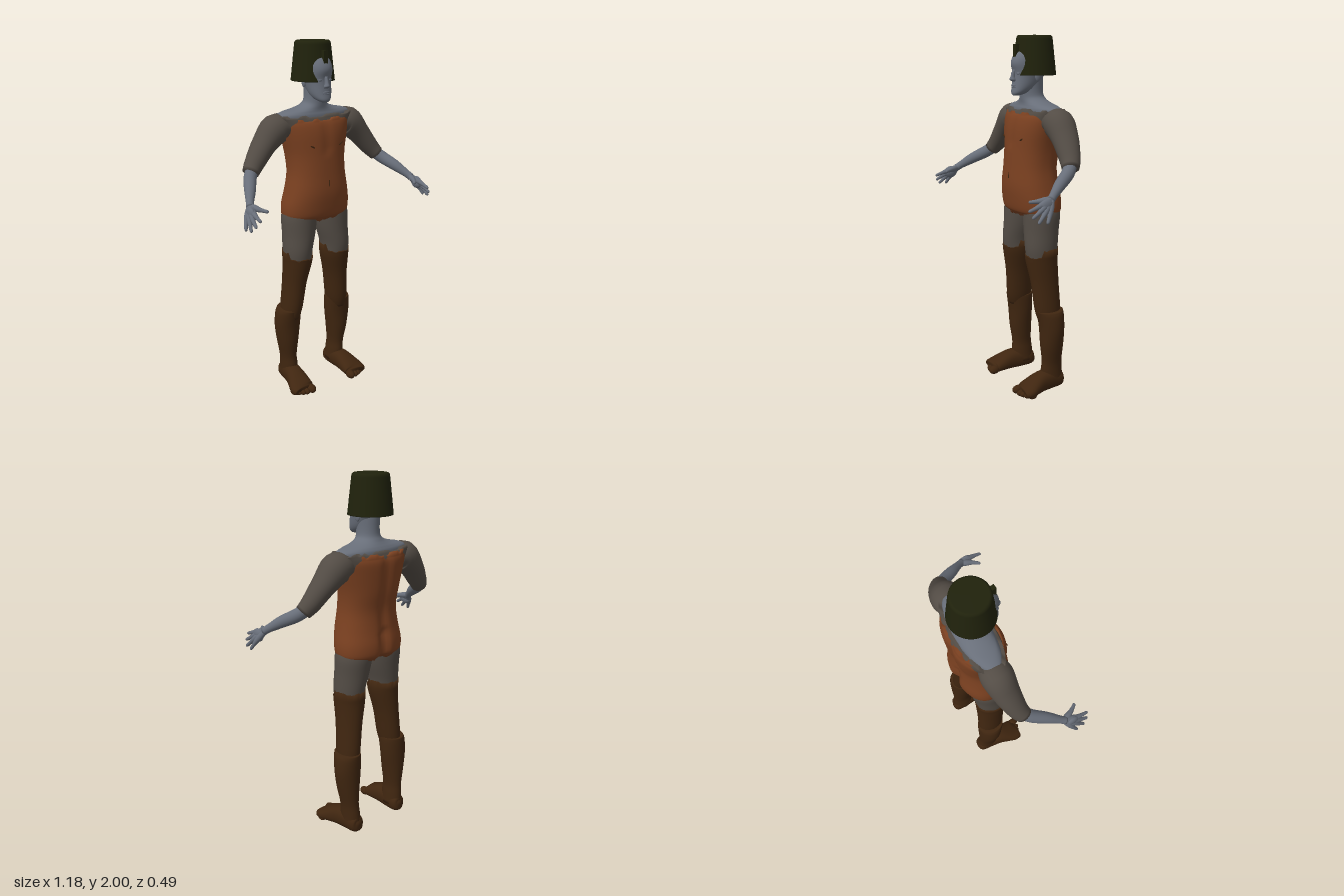
import * as THREE from 'three';

const mat = (name, color) => {
  const m = new THREE.MeshStandardMaterial({ color, side: THREE.DoubleSide });
  m.name = name;
  return m;
};

// Smooth closed skin through rows [x, y, z, a, b].
// level: rings stay horizontal (rows run upward); otherwise they follow the path.
function loft(rows, { level = false, seg = 24, steps = 4, n = 2, deform } = {}) {
  const spline = (f) => new THREE.CatmullRomCurve3(rows.map(f), false, 'catmullrom', 0.5);
  const path = spline((r) => new THREE.Vector3(r[0], r[1], r[2]));
  const size = spline((r) => new THREE.Vector3(r[3], r[4], 0));
  const rings = (rows.length - 1) * steps;
  const pos = [], idx = [], up = new THREE.Vector3(0, 1, 0);
  const sp = (c) => Math.sign(c) * Math.abs(c) ** (2 / n);
  for (let i = 0; i <= rings; i++) {
    const k = i / rings, c = path.getPoint(k), s = size.getPoint(k);
    const t = level ? up : path.getTangent(k);
    const u = level ? new THREE.Vector3(1, 0, 0) : up.clone().cross(t).normalize();
    const v = t.clone().cross(u);
    for (let j = 0; j < seg; j++) {
      const a = (j / seg) * Math.PI * 2;
      const p = c.clone().addScaledVector(u, s.x * sp(Math.cos(a))).addScaledVector(v, s.y * sp(Math.sin(a)));
      if (deform) deform(p, a, k, j);
      pos.push(p.x, p.y, p.z);
      if (i < rings) {
        const A = i * seg + j, B = i * seg + ((j + 1) % seg);
        idx.push(A, B, B + seg, A, B + seg, A + seg);
      }
    }
  }
  // End caps
  const first = pos.length / 3, top = rings * seg;
  pos.push(...path.getPoint(0).toArray(), ...path.getPoint(1).toArray());
  for (let j = 0; j < seg; j++) {
    const q = (j + 1) % seg;
    idx.push(first, q, j, first + 1, top + j, top + q);
  }
  const g = new THREE.BufferGeometry();
  g.setAttribute('position', new THREE.Float32BufferAttribute(pos, 3));
  g.setIndex(idx);
  g.computeVertexNormals();
  return g;
}

// Ragged cloth edge pattern
const rag = (j) => 0.006 * Math.sign(Math.sin(j * 0.9) + 0.6 * Math.sin(j * 2.3 + 1));

export function createModel() {
  const model = new THREE.Group();
  const skin = mat('blue grey skin', 0x686e79);
  const cloth = mat('grey shirt', 0x534c45);
  const leather = mat('rust tunic', 0x7a4020);
  const boot = mat('dark brown boots', 0x402610);
  const hatMat = mat('dark olive hat', 0x20220c);

  const add = (name, geo, material, parent = model) => {
    const m = new THREE.Mesh(geo, material);
    m.name = name;
    parent.add(m);
    return m;
  };
  const blob = (name, p, s, material, parent) => {
    const m = add(name, new THREE.SphereGeometry(1, 18, 12), material, parent);
    m.position.set(...p);
    m.scale.set(...s);
    return m;
  };
  const upright = (rows) => rows.map(([y, z, a, b]) => [0, y, z, a, b]);

  // Tunic with spine groove, seat crease and ragged edges
  add('tunic', loft(upright([
    [1.04, -0.1, 0.185, 0.11], [1.06, -0.1, 0.2, 0.132], [1.12, -0.095, 0.2, 0.14],
    [1.2, -0.085, 0.184, 0.138], [1.3, -0.085, 0.167, 0.132], [1.4, -0.097, 0.171, 0.137],
    [1.5, -0.105, 0.193, 0.138], [1.56, -0.112, 0.206, 0.132], [1.592, -0.115, 0.205, 0.118],
  ]), {
    level: true, seg: 80, n: 2.3, deform: (p, a, k, j) => {
      const mid = Math.exp(-((p.x / 0.028) ** 2));
      if (Math.sin(a) > 0) p.z += mid * (p.y < 1.19 ? 0.028 : 0.013);
      else if (p.y > 1.4) p.z -= mid * 0.006;
      if (k === 0) p.y -= 0.015 * Math.exp(-((p.x / 0.05) ** 2)) + rag(j);
      if (k === 1) p.y += rag(j) + (Math.sin(a) > 0 ? 0.008 : 0);
    },
  }), leather);
  blob('navel', [0, 1.245, 0.049], [0.004, 0.024, 0.004], boot);
  for (const s of [-1, 1]) {
    blob('chestCrease', [s * 0.09, 1.455, 0.025], [0.018, 0.004, 0.004], boot).rotation.z = s * 0.5;
  }

  // Shirt collar band and bare shoulders with neck
  add('shirtCollar', loft(upright([
    [1.48, -0.11, 0.185, 0.115], [1.57, -0.115, 0.225, 0.114], [1.61, -0.115, 0.252, 0.1],
  ]), { level: true, seg: 64, n: 2.3, deform: (p, a, k, j) => { if (k === 1) p.y += rag(j); } }), cloth);
  add('shouldersAndNeck', loft(upright([
    [1.55, -0.115, 0.22, 0.09], [1.608, -0.115, 0.238, 0.09], [1.63, -0.113, 0.2, 0.083],
    [1.645, -0.108, 0.13, 0.077], [1.665, -0.1, 0.076, 0.071], [1.7, -0.092, 0.058, 0.066],
    [1.8, -0.09, 0.058, 0.07],
  ]), { level: true, seg: 48 }), skin);

  // Head and face
  const head = new THREE.Group();
  head.name = 'head';
  model.add(head);
  add('skull', loft(upright([
    [1.685, 0.002, 0.02, 0.02], [1.7, -0.02, 0.042, 0.047], [1.73, -0.045, 0.058, 0.067],
    [1.78, -0.07, 0.068, 0.086], [1.81, -0.078, 0.073, 0.094], [1.85, -0.078, 0.073, 0.104],
    [1.885, -0.08, 0.07, 0.096], [1.92, -0.085, 0.055, 0.075], [1.95, -0.09, 0.02, 0.03],
  ]), { level: true, seg: 40, n: 2.2 }), skin, head);
  add('nose', loft([
    [0, 1.757, 0.014, 0.012, 0.01], [0, 1.768, 0.024, 0.016, 0.018],
    [0, 1.785, 0.023, 0.01, 0.014], [0, 1.82, 0.014, 0.008, 0.01],
  ], { level: true }), skin, head);
  for (const y of [1.737, 1.727]) blob('lip', [0, y, 0.019], [0.021, 0.005, 0.008], skin, head);
  for (const s of [-1, 1]) {
    blob('eye', [s * 0.03, 1.8, 0.007], [0.013, 0.006, 0.007], skin, head);
    blob('ear', [s * 0.071, 1.785, -0.09], [0.008, 0.028, 0.017], skin, head);
  }

  // Tapered hat with a front tab
  const profile = [
    [0.09, 1.8], [0.112, 1.791], [0.119, 1.79], [0.119, 1.794], [0.098, 1.98],
    [0.096, 1.99], [0.09, 1.997], [0.084, 1.998], [0, 2],
  ].map((p) => new THREE.Vector2(...p));
  add('hat', new THREE.LatheGeometry(profile, 48), hatMat).position.z = -0.11;
  add('hatTab', new THREE.BoxGeometry(0.024, 0.075, 0.03), hatMat).position.set(0, 1.915, 0);

  for (const s of [-1, 1]) {
    const side = s > 0 ? 'left' : 'right';
    const flip = (rows) => rows.map(([x, ...r]) => [x * s, ...r]);

    // Arm
    const arm = new THREE.Group();
    arm.name = side + 'Arm';
    model.add(arm);
    add('sleeve', loft(flip([
      [0.17, 1.55, -0.115, 0.07, 0.05], [0.235, 1.545, -0.117, 0.084, 0.082],
      [0.31, 1.475, -0.11, 0.072, 0.064], [0.38, 1.388, -0.092, 0.056, 0.052],
      [0.42, 1.34, -0.072, 0.045, 0.043],
    ]), { seg: 32 }), cloth, arm);
    add('forearm', loft(flip([
      [0.4, 1.36, -0.085, 0.034, 0.034], [0.44, 1.32, -0.04, 0.034, 0.035],
      [0.48, 1.28, 0.03, 0.03, 0.031], [0.515, 1.24, 0.09, 0.021, 0.022],
      [0.53, 1.22, 0.118, 0.021, 0.021],
    ])), skin, arm);
    // Fingers fan out from the wrist and form the palm
    const wrist = [0.527, 1.224, 0.11];
    const tips = [[0.545, 1.18, 0.25], [0.565, 1.15, 0.24], [0.58, 1.125, 0.215], [0.586, 1.12, 0.168], [0.478, 1.21, 0.21]];
    tips.forEach((tip, i) => {
      const thumb = i === 4;
      const at = (t, r, bow = 0) => [
        ...wrist.map((w, c) => w + (tip[c] - w) * t + (c === 0 ? bow : 0)), r, r];
      add(thumb ? 'thumb' : 'finger', loft(flip([
        at(0, 0.015), at(0.3, 0.017, 0.004), at(0.52, 0.014, 0.006),
        at(0.75, 0.01, 0.004), at(0.95, 0.008), at(1, 0.003),
      ]), { seg: 12, steps: 3 }), skin, arm);
    });
    blob('palm', [s * 0.545, 1.195, 0.15], [0.018, 0.035, 0.04], skin, arm);

    // Leg
    const leg = new THREE.Group();
    leg.name = side + 'Leg';
    model.add(leg);
    add('thigh', loft(flip([
      [0.127, 0.76, -0.085, 0.073, 0.08], [0.127, 0.85, -0.085, 0.081, 0.094],
      [0.113, 0.95, -0.092, 0.093, 0.1], [0.106, 1.04, -0.098, 0.1, 0.105],
      [0.1, 1.1, -0.095, 0.09, 0.1],
    ]), { level: true, seg: 32 }), cloth, leg);
    add('upperBoot', loft(flip([
      [0.166, 0.43, -0.115, 0.05, 0.065], [0.158, 0.5, -0.11, 0.06, 0.078],
      [0.143, 0.65, -0.1, 0.066, 0.083], [0.129, 0.77, -0.088, 0.08, 0.093],
      [0.127, 0.82, -0.086, 0.084, 0.097],
    ]), {
      level: true, seg: 40, deform: (p, a, k, j) => {
        if (k === 1) p.y += rag(j) * 0.7 + (Math.sin(a) > -0.4 ? 0.03 : -0.01);
      },
    }), boot, leg);
    add('lowerBoot', loft(flip([
      [0.165, 0.05, -0.14, 0.05, 0.068], [0.168, 0.12, -0.136, 0.047, 0.066],
      [0.172, 0.18, -0.135, 0.047, 0.061], [0.177, 0.28, -0.13, 0.063, 0.068],
      [0.178, 0.38, -0.128, 0.076, 0.071], [0.174, 0.46, -0.122, 0.075, 0.077],
      [0.169, 0.49, -0.117, 0.068, 0.08],
    ]), { level: true, seg: 32 }), boot, leg);
    add('foot', loft(flip([
      [0.165, 0.05, -0.213, 0.015, 0.02], [0.165, 0.05, -0.195, 0.042, 0.045],
      [0.168, 0.06, -0.13, 0.05, 0.058], [0.175, 0.06, -0.06, 0.054, 0.058],
      [0.183, 0.048, 0, 0.065, 0.046], [0.19, 0.036, 0.045, 0.071, 0.034],
      [0.188, 0.03, 0.068, 0.06, 0.025],
    ]), { n: 2.3 }), boot, leg);
    for (let i = 0; i < 5; i++) {
      const r = i ? 0.019 - i * 0.001 : 0.025;
      blob('toe', [s * (0.142 + (i && 0.012) + i * 0.022), r + 0.004, 0.073 - i * i * 0.0025],
        [r * 0.95, r, r + 0.01], boot, leg);
    }
  }
  return model;
}
